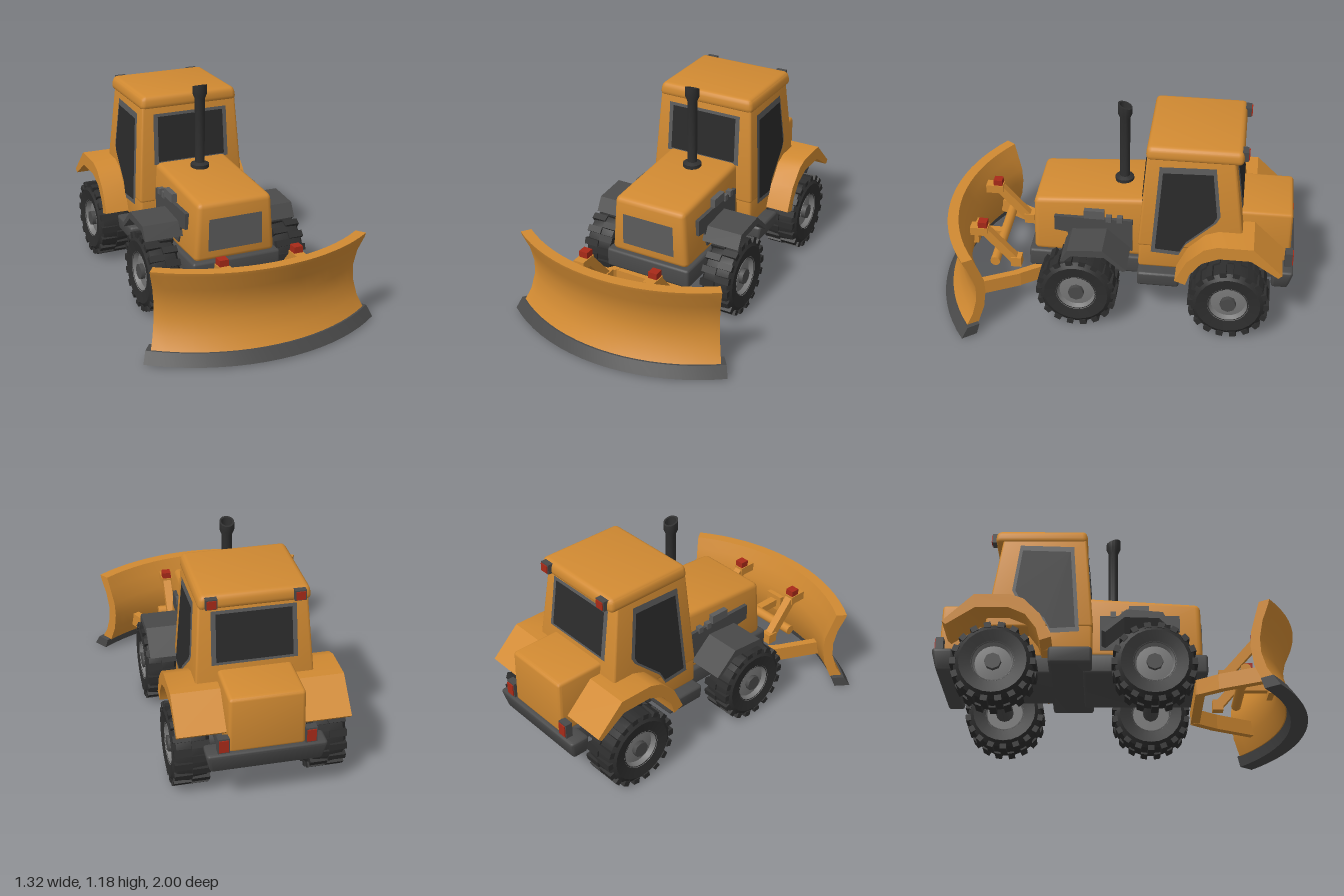
import * as THREE from 'three';
import { toCreasedNormals } from 'three/addons/utils/BufferGeometryUtils.js';
import { RoundedBoxGeometry } from 'three/addons/geometries/RoundedBoxGeometry.js';

const paint = (name, color, side = THREE.FrontSide) => {
  const m = new THREE.MeshStandardMaterial({ color, side });
  m.name = name;
  return m;
};

export function createModel() {
  const model = new THREE.Group();
  model.name = 'plowTractor';
  const orange = paint('orangePaint', 0xd18a32, THREE.DoubleSide);
  const grey = paint('chassisGrey', 0x4a4a4a, THREE.DoubleSide);
  const trim = paint('trimGrey', 0x5c5c5c, THREE.DoubleSide);
  const glass = paint('darkGlass', 0x2b2b2b, THREE.DoubleSide);
  const rubber = paint('rubber', 0x2d2d2d);
  const rimGrey = paint('rimGrey', 0x787878);
  const pipe = paint('exhaustBlack', 0x303030);
  const red = paint('lampRed', 0xa82a18);

  const add = (name, geo, mat, parent = model) => {
    const mesh = new THREE.Mesh(geo, mat);
    mesh.name = name;
    parent.add(mesh);
    return mesh;
  };
  const crease = (geo, angle = 0.6) => toCreasedNormals(geo, angle);
  const lerp = THREE.MathUtils.lerp;

  // Rounded block; bottom and top are [halfWidth, zFront, zBack], drop lowers the front of the top
  const block = (name, mat, y0, bottom, y1, top = bottom, radius = 0.015, drop = 0) => {
    const geo = new RoundedBoxGeometry(1, 1, 1, 2, 0.1);
    const w = Math.max(bottom[0], top[0]) * 2, h = y1 - y0;
    const d = Math.max(bottom[1] - bottom[2], top[1] - top[2]);
    const g = radius > 0 ? new RoundedBoxGeometry(w, h, d, 2, radius) : new THREE.BoxGeometry(w, h, d);
    geo.dispose();
    const p = g.attributes.position;
    for (let i = 0; i < p.count; i++) {
      const t = p.getY(i) / h + 0.5, k = p.getZ(i) / d + 0.5;
      p.setXYZ(i,
        p.getX(i) / w * 2 * lerp(bottom[0], top[0], t),
        lerp(y0, y1, t) - drop * k * k * t,
        lerp(lerp(bottom[2], top[2], t), lerp(bottom[1], top[1], t), k));
    }
    return add(name, crease(g), mat);
  };
  const box = (name, mat, size, pos, parent = model) => {
    const m = add(name, new THREE.BoxGeometry(...size), mat, parent);
    m.position.set(...pos);
    return m;
  };
  // Flat plate laid onto a surface by place(u, v)
  const plate = (name, mat, pts, place) => {
    const g = new THREE.ShapeGeometry(new THREE.Shape(pts.map(p => new THREE.Vector2(...p))));
    const p = g.attributes.position;
    for (let i = 0; i < p.count; i++) p.setXYZ(i, ...place(p.getX(i), p.getY(i)));
    g.computeVertexNormals();
    return add(name, g, mat);
  };
  // Profile in (z, y) extruded across x
  const sideExtrude = (name, mat, pts, x0, x1) => {
    const g = new THREE.ExtrudeGeometry(new THREE.Shape(pts.map(([z, y]) => new THREE.Vector2(-z, y))),
      { depth: x1 - x0, bevelEnabled: false });
    g.rotateY(Math.PI / 2).translate(x0, 0, 0);
    return add(name, crease(g), mat);
  };
  // Straight bar between two points
  const beam = (name, mat, a, b, w, h) => {
    const va = new THREE.Vector3(...a), vb = new THREE.Vector3(...b);
    const m = add(name, new THREE.BoxGeometry(w, h, va.distanceTo(vb)), mat);
    m.position.copy(va).lerp(vb, 0.5);
    m.lookAt(vb);
    return m;
  };
  const crossBar = (name, mat, r, len, y, z) => {
    const g = new THREE.CylinderGeometry(r, r, len, 12).rotateZ(Math.PI / 2);
    add(name, g, mat).position.set(0, y, z);
  };

  // Chassis
  block('frontChassis', grey, 0.24, [0.255, 0.465, -0.2], 0.35);
  block('stepPlatform', grey, 0.25, [0.37, -0.15, -0.38], 0.34, [0.38, -0.15, -0.38]);
  block('rearChassis', grey, 0.25, [0.22, -0.35, -0.94], 0.36);
  block('rearBumper', grey, 0.24, [0.29, -0.88, -0.97], 0.36, [0.315, -0.88, -1], 0.02);

  // Bodywork
  block('hood', orange, 0.34, [0.235, 0.44, -0.2], 0.705, [0.212, 0.435, -0.2], 0.03, 0.04);
  block('rearBody', orange, 0.35, [0.2, -0.4, -0.975], 0.665, [0.195, -0.4, -0.97], 0.02);
  block('cabBase', orange, 0.34, [0.315, -0.15, -0.42], 0.55, [0.313, -0.152, -0.46]);
  const cabW = y => 0.31 - 0.0675 * (y - 0.6);
  const cabF = y => -0.155 - 0.075 * (y - 0.6);
  const cabB = y => -0.7 + 0.14 * (y - 0.65);
  const cabAt = y => [cabW(y), cabF(y), cabB(y)];
  block('cab', orange, 0.48, cabAt(0.48), 1.04, cabAt(1.04), 0.015);
  block('roof', orange, 1.01, [0.292, -0.178, -0.692], 1.088, [0.28, -0.185, -0.685], 0.028);

  // Cab windows: a trim frame with glass slightly proud of it
  const scaleAbout = (pts, s) => {
    const c = pts.reduce((a, p) => [a[0] + p[0] / pts.length, a[1] + p[1] / pts.length], [0, 0]);
    return pts.map(p => [c[0] + (p[0] - c[0]) * s, c[1] + (p[1] - c[1]) * s]);
  };
  const windowOn = (name, pts, place) => {
    plate(name + 'Frame', trim, pts, (u, v) => place(u, v, 0.004));
    plate(name + 'Glass', glass, scaleAbout(pts, 0.89), (u, v) => place(u, v, 0.008));
  };
  const screen = [[-0.225, 0.695], [0.225, 0.695], [0.22, 0.985], [-0.22, 0.985]];
  windowOn('windshield', screen, (u, v, o) => [u, v, cabF(v) + o]);
  windowOn('rearWindow', screen, (u, v, o) => [u, v, cabB(v) - o]);
  const door = [[-0.255, 0.978], [-0.55, 0.987], [-0.585, 0.7], [-0.565, 0.66], [-0.405, 0.51], [-0.37, 0.44], [-0.22, 0.45]];
  for (const s of [1, -1]) windowOn('sideWindow', door, (u, v, o) => [s * (cabW(v) + o), v, u]);

  // Grille
  plate('grille', trim, [[-0.16, 0.4], [0.155, 0.4], [0.15, 0.58], [-0.155, 0.58]], (u, v) => [u, v, 0.444]);

  // Exhaust stack with a slanted, flared mouth
  const stack = new THREE.LatheGeometry(
    [[0, 0.69], [0.052, 0.69], [0.052, 0.715], [0.028, 0.725], [0.028, 1.09], [0.04, 1.12], [0.04, 1.165], [0.03, 1.165], [0.028, 1.1], [0, 1.1]]
      .map(p => new THREE.Vector2(...p)), 14);
  const sp = stack.attributes.position;
  for (let i = 0; i < sp.count; i++) if (sp.getY(i) > 1.15) sp.setY(i, sp.getY(i) + sp.getZ(i) * 0.35);
  add('exhaust', crease(stack), pipe).position.z = -0.04;

  // Wheels
  const lathe = (pts, n) => crease(new THREE.LatheGeometry(pts.map(p => new THREE.Vector2(...p)), n).rotateZ(-Math.PI / 2));
  const tyreGeo = lathe([[0.105, -0.08], [0.175, -0.09], [0.205, -0.07], [0.212, 0], [0.205, 0.07], [0.175, 0.09], [0.105, 0.08]], 24);
  const rimGeo = lathe([[0, -0.05], [0.1, -0.05], [0.112, -0.083], [0.112, 0.083], [0.095, 0.055], [0.05, 0.06], [0, 0.06]], 20);
  const hubGeo = new THREE.CylinderGeometry(0.04, 0.044, 0.17, 8).rotateZ(Math.PI / 2);
  const lugGeo = new THREE.BoxGeometry(0.084, 0.03, 0.036);
  const makeWheel = (name, x, z, width) => {
    const wheel = new THREE.Group();
    wheel.name = name;
    add('tyre', tyreGeo, rubber, wheel);
    add('rim', rimGeo, rimGrey, wheel);
    add('hub', hubGeo, grey, wheel);
    for (let i = 0; i < 36; i++) {
      const a = i / 36 * Math.PI * 2, side = i % 2 ? 1 : -1;
      const lug = add('treadLug', lugGeo, rubber, wheel);
      lug.position.set(side * 0.042, Math.cos(a) * 0.206, Math.sin(a) * 0.206);
      lug.rotation.x = a;
    }
    wheel.position.set(x, 0.223, z);
    wheel.scale.x = width / 0.18;
    if (x < 0) wheel.rotation.y = Math.PI;
    model.add(wheel);
  };

  // Blade and its cutting edge: profiles in (radius, y) swept about a vertical axis
  const sweep = (name, mat, pts, angle) => {
    const v = pts.map(p => new THREE.Vector2(...p));
    const g = new THREE.LatheGeometry([...v, v[0]], 18, -angle, angle * 2);
    add(name, crease(g), mat).position.z = -0.1;
    for (const s of [1, -1]) {
      const cap = new THREE.ShapeGeometry(new THREE.Shape(v)).rotateY(s * angle - Math.PI / 2);
      add(name + 'End', cap, mat).position.z = -0.1;
    }
  };
  sweep('blade', orange, [[1.055, 0.065], [1.015, 0.13], [0.988, 0.22], [0.985, 0.3], [1.005, 0.39], [1.045, 0.48], [1.05, 0.5],
    [0.99, 0.5], [0.965, 0.43], [0.935, 0.34], [0.93, 0.26], [0.945, 0.16], [0.985, 0.065]], 0.62);
  sweep('cuttingEdge', grey, [[1.1, 0.01], [1.062, 0.07], [0.99, 0.07], [1.01, 0.01]], 0.645);

  // Blade linkage
  crossBar('linkageBar', orange, 0.028, 0.55, 0.26, 0.66);
  beam('centreLink', orange, [0, 0.26, 0.66], [0, 0.26, 0.86], 0.045, 0.045);
  box('centreBracket', orange, [0.11, 0.1, 0.04], [0, 0.26, 0.825]);
  box('pushFrameCross', orange, [0.46, 0.08, 0.05], [0, 0.17, 0.42]);

  for (const s of [1, -1]) {
    makeWheel('frontWheel', s * 0.37, 0.175, 0.18);
    makeWheel('rearWheel', s * 0.36, -0.655, 0.2);

    // Rear fender
    const [fa, fb] = s > 0 ? [0.19, 0.45] : [-0.45, -0.19];
    sideExtrude('rearFender', orange, [[-0.36, 0.36], [-0.42, 0.49], [-0.51, 0.58], [-0.58, 0.605], [-0.77, 0.605], [-0.93, 0.45],
      [-0.91, 0.43], [-0.76, 0.53], [-0.59, 0.53], [-0.5, 0.49], [-0.44, 0.41], [-0.42, 0.34]], fa, fb);
    // Front fender
    const [ga, gb] = s > 0 ? [0.22, 0.445] : [-0.445, -0.22];
    sideExtrude('frontFender', grey, [[0.26, 0.43], [0.22, 0.505], [0.03, 0.52], [-0.1, 0.4], [-0.08, 0.39], [0.02, 0.475], [0.2, 0.47], [0.24, 0.43]], ga, gb);

    // Engine side panel and parts
    const [pa, pb] = s > 0 ? [0.2, 0.24] : [-0.24, -0.2];
    sideExtrude('enginePanel', grey, [[0.32, 0.58], [-0.11, 0.58], [-0.11, 0.38], [0.22, 0.38], [0.25, 0.48], [0.32, 0.49]], pa, pb);
    box('engineBlock', trim, [0.03, 0.05, 0.11], [s * 0.235, 0.61, 0.1]);
    for (const z of [0.02, -0.04]) box('engineCap', trim, [0.03, 0.035, 0.03], [s * 0.235, 0.585, z]);

    // Rear lamps on roof and bumper
    for (const [y, z, h] of [[1.052, -0.69, 0.055], [0.405, -0.965, 0.085]]) {
      box('lampHousing', grey, [0.06, h, 0.04], [s * 0.225, y, z]);
      box('lampLens', red, [0.048, h * 0.8, 0.008], [s * 0.225, y, z - 0.022]);
    }

    // Push arms and lift rams
    beam('pushArm', orange, [s * 0.21, 0.17, 0.41], [s * 0.3, 0.17, 0.54], 0.04, 0.085);
    beam('pushArm', orange, [s * 0.29, 0.17, 0.52], [s * 0.41, 0.17, 0.76], 0.04, 0.085);
    beam('liftRam', orange, [s * 0.21, 0.22, 0.54], [s * 0.21, 0.44, 0.73], 0.045, 0.05);
    box('ramFoot', orange, [0.06, 0.06, 0.06], [s * 0.21, 0.235, 0.55]);
    box('ramHead', orange, [0.06, 0.05, 0.1], [s * 0.21, 0.43, 0.75]);
    box('ramCap', red, [0.05, 0.05, 0.05], [s * 0.21, 0.465, 0.73]);
  }

  // Axles
  crossBar('frontAxle', grey, 0.045, 0.6, 0.223, 0.175);
  crossBar('rearAxle', grey, 0.05, 0.6, 0.223, -0.655);
  return model;
}
